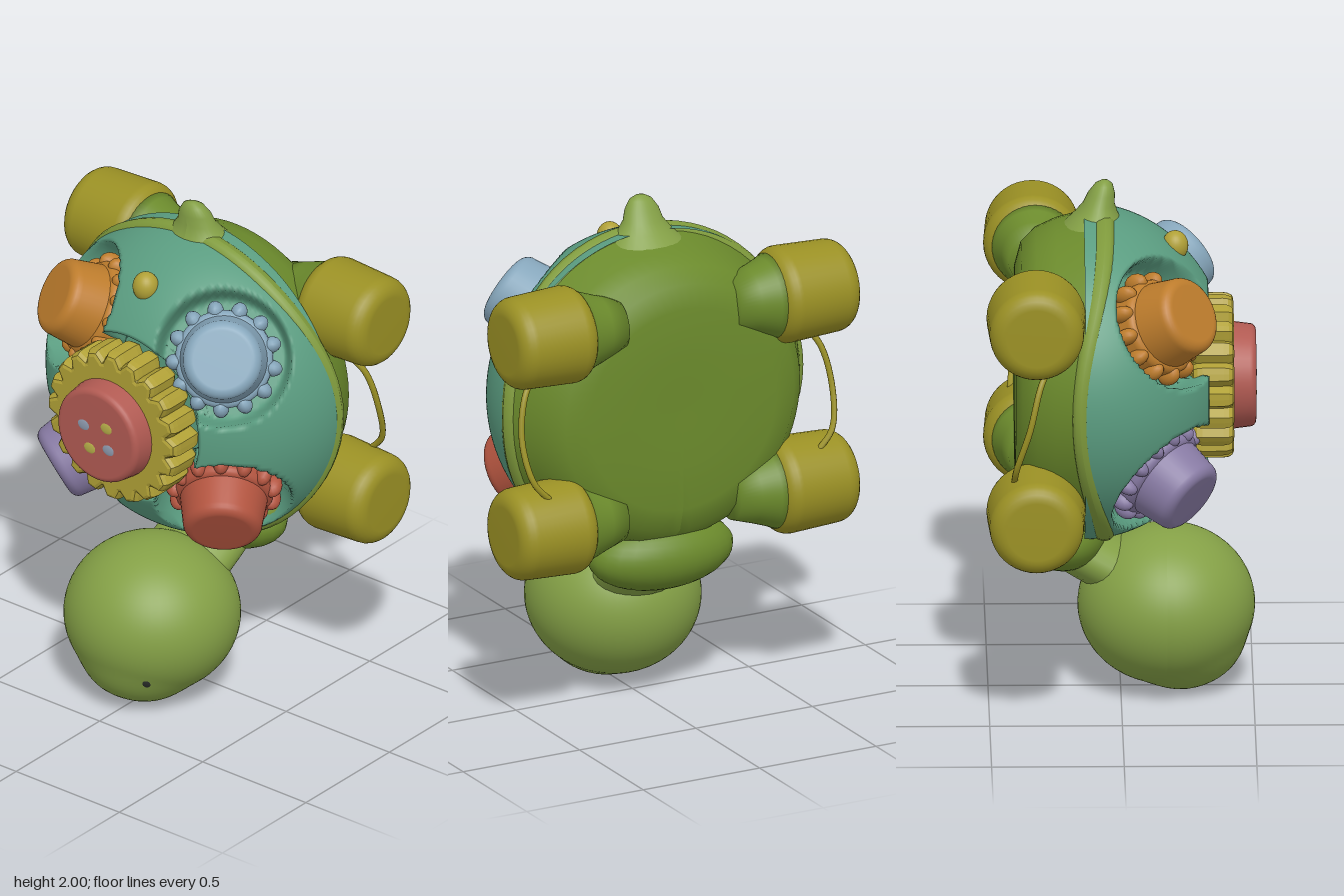
import * as THREE from 'three';

const CY = 1.245; // height of the shell centre
const V = (x, y, z) => new THREE.Vector3(x, y, z);
const smooth = THREE.MathUtils.smoothstep;

function mesh(name, geo, color, parent, double = false) {
  const mat = new THREE.MeshStandardMaterial({ color });
  if (double) mat.side = THREE.DoubleSide;
  const m = new THREE.Mesh(geo, mat);
  m.name = name;
  parent.add(m);
  return m;
}

// Apply a rule to every vertex of a geometry
function reshape(geo, rule) {
  const pos = geo.attributes.position, p = V(0, 0, 0);
  for (let i = 0; i < pos.count; i++) {
    rule(p.fromBufferAttribute(pos, i));
    pos.setXYZ(i, p.x, p.y, p.z);
  }
  geo.computeVertexNormals();
  return geo;
}

// Lathe around z from [radius, z] pairs, ordered back to front
function latheZ(points, segments = 48) {
  const g = new THREE.LatheGeometry(points.map(([r, z]) => new THREE.Vector2(r, z)), segments);
  return g.rotateX(Math.PI / 2);
}

// Drum with rounded rims, from z = 0 to z = h
function drum(r0, r1, h, bevel) {
  const pts = [[0, 0]];
  for (let i = 0; i <= 6; i++) {
    const a = (i / 6) * Math.PI / 2;
    pts.push([r0 - bevel + bevel * Math.sin(a), bevel * (1 - Math.cos(a))]);
  }
  for (let i = 0; i <= 6; i++) {
    const a = (i / 6) * Math.PI / 2;
    pts.push([r1 - bevel + bevel * Math.cos(a), h - bevel * (1 - Math.sin(a))]);
  }
  pts.push([0, h]);
  return latheZ(pts, 40);
}

function ellipsoid(name, c, r, color, parent, segments = 28) {
  const m = mesh(name, new THREE.SphereGeometry(1, segments, Math.round(segments * 0.7)), color, parent);
  m.position.set(...c);
  m.scale.set(...r);
  return m;
}

// Four tilted gear seats around the dome
const seats = [
  [1, 1, 0x86a6bb, 'blueGear'], [-1, 1, 0xbd7c2c, 'orangeGear'],
  [1, -1, 0xb2543f, 'redGear'], [-1, -1, 0x877aa3, 'purpleGear'],
].map(([sx, sy, color, name]) => ({
  color, name,
  c: V(0.305 * sx, 1.23 + 0.28 * sy, 0.13),
  n: V(0.52 * sx, 0.47 * sy, 0.71).normalize(),
}));

// Dome with four round pockets and a sunken centre
function shellGeometry() {
  const pts = [], v = V(0, 0, 0);
  for (let i = 0; i <= 80; i++) {
    const a = (i / 80) * Math.PI / 2;
    pts.push([0.635 * Math.cos(a), -0.14 + 0.56 * Math.sin(a)]);
  }
  return reshape(latheZ(pts, 176).translate(0, CY, 0), (p) => {
    const sink = 1 - smooth(Math.hypot(p.x, p.y - CY), 0.31, 0.345);
    p.z -= Math.max(0, p.z - 0.22) * sink;
    for (const { c, n } of seats) {
      v.subVectors(p, c);
      const h = v.dot(n);
      const d = Math.sqrt(Math.max(0, v.lengthSq() - h * h));
      p.addScaledVector(n, -Math.max(0, h + 0.05) * (1 - smooth(d, 0.23, 0.262)));
    }
  });
}

// The front edge of the body runs forward at top and bottom, back at the sides
function waveEdge(p) {
  const c = p.x / (Math.hypot(p.x, p.y) || 1);
  p.z += (0.07 - 0.1 * c ** 4) * smooth(p.z, -0.28, -0.12);
}

// Small gear: ball teeth, hub and tall rounded cap along local z
function smallGear({ c, n, color, name }, parent) {
  const g = new THREE.Group();
  g.name = name;
  g.position.copy(c);
  g.quaternion.setFromUnitVectors(V(0, 0, 1), n);
  mesh('gearDisc', drum(0.185, 0.185, 0.11, 0.03).translate(0, 0, -0.06), color, g);
  mesh('gearCap', drum(0.165, 0.15, 0.185, 0.04).translate(0, 0, 0.01), color, g);
  const count = 13;
  for (let i = 0; i < count; i++) {
    const a = (i / count) * Math.PI * 2;
    const t = ellipsoid('gearTooth', [0.185 * Math.cos(a), 0.185 * Math.sin(a), 0], [0.038, 0.031, 0.05], color, g, 14);
    t.rotation.z = a;
  }
  parent.add(g);
}

// Large front gear with softly waved teeth
function bigGearGeometry() {
  const teeth = 20, steps = teeth * 8, s = new THREE.Shape();
  for (let i = 0; i < steps; i++) {
    const a = (i / steps) * Math.PI * 2;
    const w = THREE.MathUtils.clamp(Math.cos(a * teeth) * 1.4, -1, 1);
    const r = 0.272 + 0.018 * w;
    s[i ? 'lineTo' : 'moveTo'](r * Math.cos(a), r * Math.sin(a));
  }
  s.closePath();
  return new THREE.ExtrudeGeometry(s, { depth: 0.08, bevelThickness: 0.04, bevelSize: 0.022, bevelSegments: 3 });
}

export function createModel() {
  const root = new THREE.Group();
  const GREEN = 0x6b8a2c, HEAD = 0x84a046, TEAL = 0x5a9c80, OLIVE = 0x9a9024, YELLOW = 0xb0a036;

  // Shell and body
  mesh('shell', shellGeometry(), TEAL, root);
  const body = latheZ([[0, -0.4], [0.2, -0.402], [0.4, -0.4], [0.49, -0.375], [0.545, -0.32], [0.58, -0.25],
    [0.61, -0.18], [0.63, -0.13], [0.635, -0.11], [0.6, -0.095]], 72);
  mesh('body', reshape(body, waveEdge).translate(0, CY, 0), GREEN, root);
  const rim = new THREE.TorusGeometry(0.605, 0.038, 12, 72).translate(0, 0, -0.13);
  mesh('shellRim', reshape(rim, waveEdge).translate(0, CY, 0), 0x7f9a3c, root);

  // Tail on top
  const tail = [[0.17, -0.09], [0.11, -0.03], [0.08, 0.01], [0.068, 0.05], [0.045, 0.085], [0.02, 0.098], [0, 0.1]];
  const tailGeo = new THREE.LatheGeometry(tail.map(([r, y]) => new THREE.Vector2(r, y)), 28);
  reshape(tailGeo, (p) => { p.z = p.z * 0.75 + p.y * 0.25; });
  mesh('tail', tailGeo, HEAD, root).position.set(0, 1.9, -0.085);

  // Centre gear and button
  mesh('centreGear', bigGearGeometry().translate(-0.01, 1.23, 0.305), YELLOW, root);
  mesh('centreButton', drum(0.205, 0.195, 0.13, 0.025).translate(-0.01, 1.23, 0.38), 0xb15a52, root);
  [[-0.06, 0.03], [0.05, 0.05], [0.06, -0.04], [-0.03, -0.06]].forEach(([x, y], i) =>
    ellipsoid('buttonSpot', [x - 0.01, 1.23 + y, 0.507], [0.032, 0.025, 0.006], i % 2 ? 0xb8b04a : 0x8f9cb0, root, 16));

  // Tilted gears and the small knob
  seats.forEach((s) => smallGear(s, root));
  ellipsoid('knob', [-0.015, 1.745, 0.205], [0.05, 0.058, 0.05], YELLOW, root);

  // Wheels, flared legs and side cords
  for (const sx of [1, -1]) {
    for (const y of [1.605, 0.84]) {
      const wheel = mesh('wheel', drum(0.187, 0.178, 0.33, 0.065), OLIVE, root);
      wheel.position.set(0.4 * sx, y, -0.325);
      const leg = mesh('leg', latheZ([[0, 0], [0.1, 0], [0.125, 0.08], [0.15, 0.15], [0.175, 0.2], [0, 0.22]]), GREEN, root);
      leg.position.set(0.24 * sx, y, -0.32);
      wheel.rotation.y = leg.rotation.y = sx * Math.PI / 2;
    }
    const path = new THREE.CatmullRomCurve3([V(0.56, 1.46, -0.27), V(0.63, 1.38, -0.31),
      V(0.665, 1.22, -0.35), V(0.64, 1.06, -0.4), V(0.57, 0.98, -0.41)].map((p) => p.setX(p.x * sx)));
    mesh('sideCord', new THREE.TubeGeometry(path, 28, 0.012, 8), OLIVE, root);
  }

  // Neck
  ellipsoid('neckBase', [0, 0.625, -0.22], [0.3, 0.145, 0.17], GREEN, root);
  const neck = new THREE.CatmullRomCurve3([V(0, 0.62, -0.24), V(0, 0.555, -0.15), V(0, 0.48, -0.02)]);
  mesh('neck', new THREE.TubeGeometry(neck, 12, 0.11, 24).scale(1.7, 1, 1), HEAD, root, true);

  // Head: a sphere with its lower front drawn out into a blunt snout
  const snout = V(0, -0.9, 0.43).normalize();
  const headGeo = reshape(new THREE.SphereGeometry(1, 56, 40), (p) => {
    p.addScaledVector(snout, 0.11 * smooth(p.dot(snout), 0.7, 1));
    p.set(p.x * 0.335, p.y * 0.305, p.z * 0.335);
  });
  headGeo.computeBoundingBox();
  const head = mesh('head', headGeo, HEAD, root);
  head.position.set(-0.01, -headGeo.boundingBox.min.y, 0.172);
  const eye = ellipsoid('eye', [0.14, 0.18, 0.395], [0.032, 0.042, 0.025], 0x2c2f2c, root);
  eye.rotation.set(0.6, 0.4, -0.2);

  return root;
}
